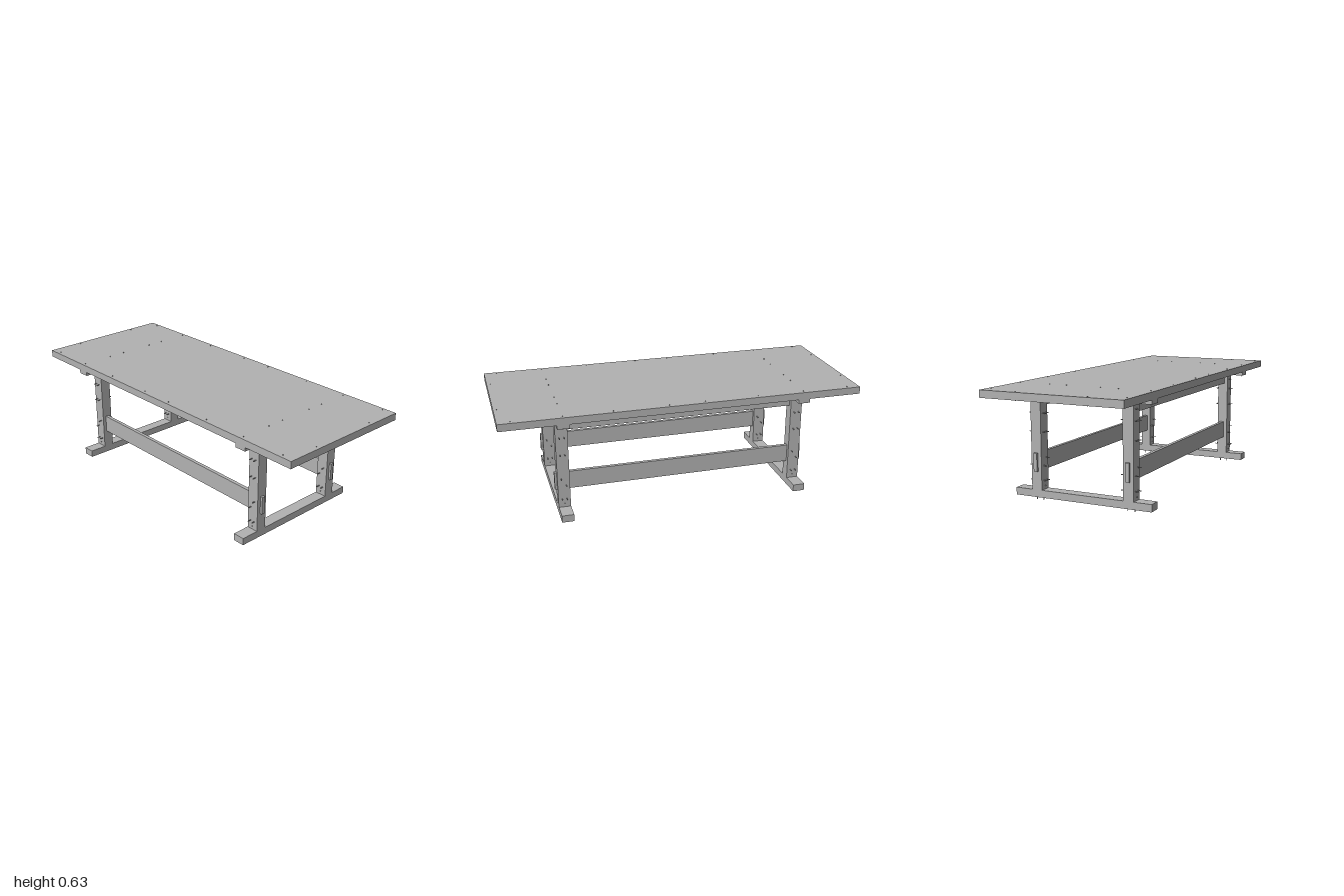
import * as THREE from 'three';

export function createModel() {
  const model = new THREE.Group();
  model.name = 'trestleTable';
  const grey = new THREE.MeshStandardMaterial({ color: 0xb2b2b2 });
  grey.name = 'grey';

  // Box given by its limits on each axis
  function board(name, x0, x1, y0, y1, z0, z1) {
    const mesh = new THREE.Mesh(new THREE.BoxGeometry(x1 - x0, y1 - y0, z1 - z0), grey);
    mesh.position.set((x0 + x1) / 2, (y0 + y1) / 2, (z0 + z1) / 2);
    mesh.name = name;
    model.add(mesh);
  }

  // Thin bolt along y or z
  function bolt(name, x, y, z, length, axis) {
    const mesh = new THREE.Mesh(new THREE.CylinderGeometry(0.0025, 0.0025, length, 8), grey);
    if (axis === 'z') mesh.rotation.x = Math.PI / 2;
    mesh.position.set(x, y, z);
    mesh.name = name;
    model.add(mesh);
  }

  const legX = 0.667, halfLeg = 0.0333, legZ = 0.27;

  // Top: panel on a frame of flat rails
  board('topPanel', -1, 1, 0.602, 0.622, -0.4, 0.4);
  for (const s of [-1, 1]) {
    board('longRail', -1, 1, 0.582, 0.602, s * 0.35 - 0.05, s * 0.35 + 0.05);
    board('endRail', s * 0.955 - 0.045, s * 0.955 + 0.045, 0.582, 0.602, -0.3, 0.3);
    board('crossBatten', s * 0.28 - 0.05, s * 0.28 + 0.05, 0.582, 0.602, -0.3, 0.3);
    board('bearerPacking', s * legX - halfLeg, s * legX + halfLeg, 0.582, 0.602, -0.3, 0.3);
  }

  // Long aprons and stretchers in line with the legs
  for (const s of [-1, 1]) {
    const z = s * legZ;
    board('apron', -legX + halfLeg, legX - halfLeg, 0.505, 0.582, z - 0.01, z + 0.01);
    board('stretcher', -0.713, 0.713, 0.16, 0.26, z - 0.01, z + 0.01);
  }

  // Two end trestles
  for (const sx of [-1, 1]) {
    const x = sx * legX, x0 = x - halfLeg, x1 = x + halfLeg;
    board('foot', x0, x1, 0.02, 0.06, -0.4, 0.4);
    board('bearer', x0, x1, 0.56, 0.582, -0.4, 0.4);
    for (const sz of [-1, 1]) {
      const z = sz * legZ;
      board('leg', x0, x1, 0.06, 0.56, z - 0.03, z + 0.03);

      // Bolts through the leg
      for (const [dx, y] of [[-0.013, 0.47], [0.013, 0.47], [-0.013, 0.37], [0.013, 0.37],
        [0.013, 0.23], [-0.013, 0.19], [-0.013, 0.11], [0.013, 0.11], [-0.013, 0.53]]) {
        bolt('legBolt', x + dx, y, z, 0.1, 'z');
      }
      for (const y of [0.08, 0.53]) bolt('legPin', x, y, z, 0.07, 'z');

      // Bolts under the foot
      for (const dz of [-0.02, 0.02]) bolt('footBolt', x, 0.02, z + dz, 0.04, 'y');

      // Bolts through the bearer and top
      for (const bz of [0.1, 0.2, 0.38]) bolt('bearerBolt', x, 0.588, sz * bz, 0.076, 'y');

      // Bolts around the rim of the top
      for (const [bx, bz] of [[0.1, 0.38], [0.4, 0.38], [0.93, 0.38], [0.98, 0.2]]) {
        bolt('rimBolt', sx * bx, 0.601, sz * bz, 0.05, 'y');
      }
    }
  }
  return model;
}
